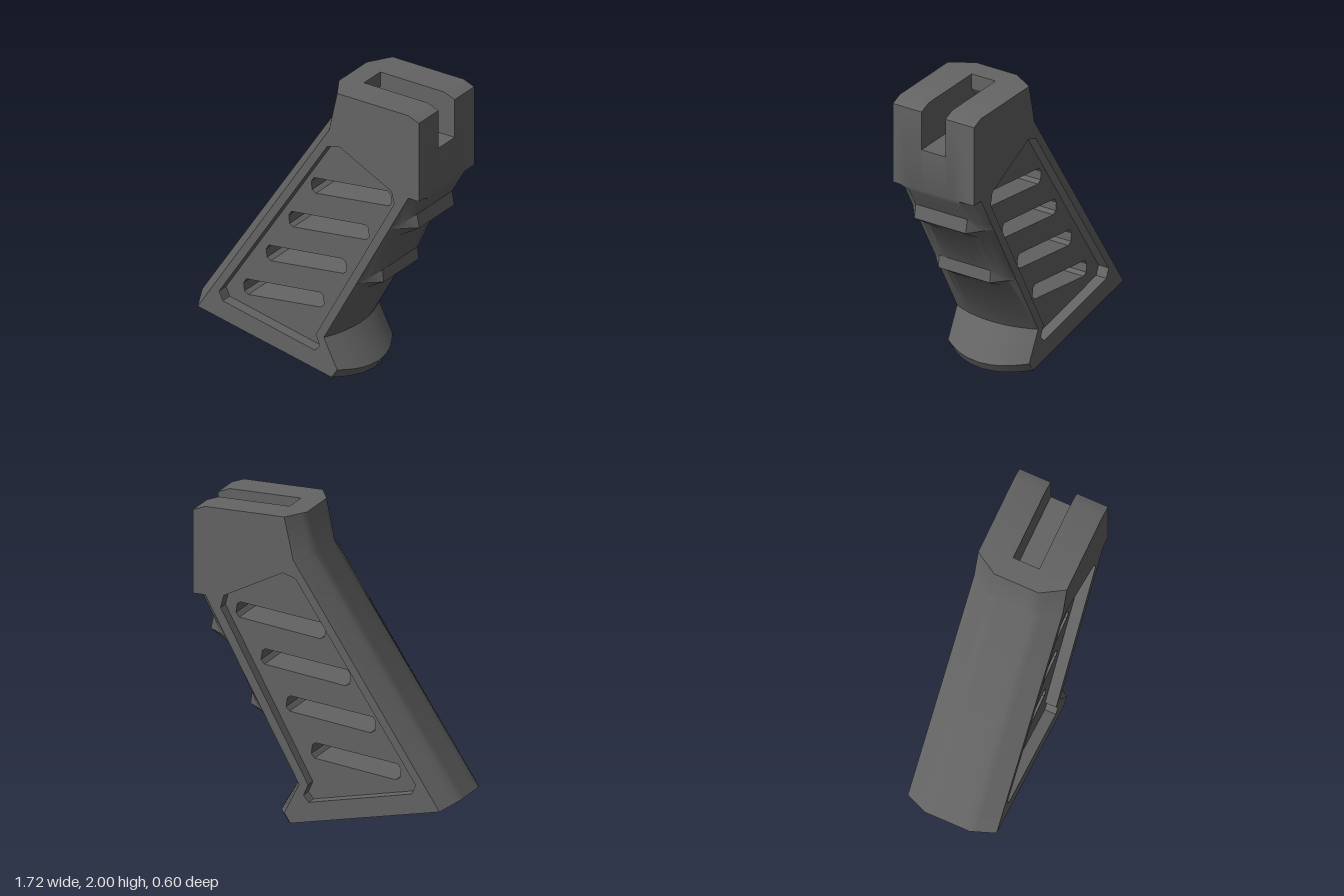
import * as THREE from 'three';
import { mergeGeometries, toCreasedNormals } from 'three/addons/utils/BufferGeometryUtils.js';

const HALF = 0.3, FLOOR = 0.225, SLOT = 0.088;
const lerp = THREE.MathUtils.lerp;

// Outline of the grip at depth z, counter-clockwise from the rear heel
function outline(z, slotted) {
  const a = Math.abs(z);
  const curve = 1 - (a / HALF) ** 2;                                   // rounded front
  const ridge = THREE.MathUtils.clamp((HALF - a) / 0.11, 0, 1);        // finger ridges
  const back = THREE.MathUtils.clamp((HALF - a) / 0.15, 0, 1);         // chamfered back
  // Front point that falls back to the straight side edge at the flanks
  const front = (x, y, ySide, bulge) => {
    const yy = lerp(ySide, y, ridge);
    return [lerp(0.15 + (yy - 0.285) * 0.55, x, bulge), yy];
  };
  const pts = [
    [lerp(-0.79, -0.86, back), lerp(0.228, 0.265, back)],
    [lerp(0.208, 0.32, curve), lerp(0.027, 0.002, curve)],
    [lerp(0.25, 0.355, curve), lerp(0.09, 0.06, curve)],
    [lerp(0.15, 0.22, curve), 0.285],
    front(0.43, 0.66, 0.73, curve), front(0.522, 0.73, 0.73, ridge), front(0.512, 0.81, 0.73, ridge),
    front(0.68, 1.09, 1.18, curve), front(0.787, 1.18, 1.18, ridge), front(0.77, 1.27, 1.18, ridge),
    front(0.845, 1.4, 1.43, ridge), [0.86, 1.43],
  ];
  if (slotted) pts.push([0.86, 1.71], [0.175, 1.71], [0.305, 1.9], [0.305, 2]);
  else pts.push([0.86, 1.97], [0.78, 2]);
  pts.push([lerp(0.25, 0.16, back), 2], [lerp(0.19, 0.105, back), 1.73]);
  return pts;
}

// Skin between matching outlines placed at increasing z
function loft(zs, at) {
  const pos = [];
  for (let k = 0; k + 1 < zs.length; k++) {
    const A = at(zs[k]), B = at(zs[k + 1]);
    A.forEach((p, i) => {
      const j = (i + 1) % A.length;
      const a = [...p, zs[k]], b = [...A[j], zs[k]];
      const c = [...B[j], zs[k + 1]], d = [...B[i], zs[k + 1]];
      pos.push(...a, ...b, ...c, ...a, ...c, ...d);
    });
  }
  const g = new THREE.BufferGeometry();
  g.setAttribute('position', new THREE.Float32BufferAttribute(pos, 3));
  return g;
}

// Flat plate with holes at depth z, facing +z or -z
function plate(points, holes, z, facing) {
  const vec = (list) => list.map(([x, y]) => new THREE.Vector2(x, y));
  const shape = new THREE.Shape(vec(points));
  shape.holes = holes.map((h) => new THREE.Path(vec(h)));
  const g = new THREE.ShapeGeometry(shape).toNonIndexed();
  g.deleteAttribute('uv');
  g.deleteAttribute('normal');
  const p = g.attributes.position;
  if (facing < 0) {
    for (let i = 0; i < p.count; i += 3) {
      const x = p.getX(i + 1), y = p.getY(i + 1);
      p.setXY(i + 1, p.getX(i + 2), p.getY(i + 2));
      p.setXY(i + 2, x, y);
    }
  }
  return g.translate(0, 0, z);
}

export function createModel() {
  const group = new THREE.Group();
  group.name = 'grip';
  const grey = new THREE.MeshStandardMaterial({ color: 0x646464 });
  grey.name = 'dark grey';
  const add = (name, parts, crease) => {
    const mesh = new THREE.Mesh(toCreasedNormals(mergeGeometries(parts), crease), grey);
    mesh.name = name;
    group.add(mesh);
  };

  // Recessed side panel and the four slanted openings
  const recess = [[0.26, 1.638], [0.175, 1.61], [-0.63, 0.38], [-0.603, 0.32], [0.085, 0.178],
    [0.12, 0.22], [0.09, 0.29], [0.675, 1.36], [0.655, 1.44]];
  const opening = [[0.005, 1.29], [0.025, 1.322], [0.575, 1.388], [0.597, 1.373],
    [0.605, 1.315], [0.582, 1.288], [0.04, 1.218], [0.012, 1.235]];
  const openings = [0, 1, 2, 3].map((n) =>
    opening.map(([x, y]) => [x - n * 0.168, y - n * 0.282]));

  // Outer skin: two flanks and a slotted centre
  const flank = [SLOT, 0.15, 0.19, 0.25, HALF];
  const plain = (z) => outline(z, false);
  add('body', [
    loft(flank, plain),
    loft(flank.map((z) => -z).reverse(), plain),
    loft([-SLOT, 0, SLOT], (z) => outline(z, true)),
  ], 0.56);

  // Walls of the slot in the top
  const slotSide = [[0.305, 2], [0.305, 1.9], [0.175, 1.71], [0.86, 1.71], [0.86, 1.97], [0.78, 2]];
  add('topSlotWalls', [plate(slotSide, [], SLOT, -1), plate(slotSide, [], -SLOT, 1)], 0.1);

  // Flat sides, recess rims and recess floors
  const rim = [...recess].reverse();
  // Points where the ridges fade out coincide, so drop repeats
  const side = outline(HALF, false).filter((p, i, all) =>
    i === 0 || Math.hypot(p[0] - all[i - 1][0], p[1] - all[i - 1][1]) > 1e-4);
  for (const s of [1, -1]) {
    const label = s > 0 ? 'left' : 'right';
    add(label + 'Side', [plate(side, [recess], s * HALF, s)], 0.1);
    add(label + 'RecessRim', [loft(s > 0 ? [FLOOR, HALF] : [-HALF, -FLOOR], () => rim)], 0.1);
    add(label + 'RecessFloor', [plate(recess, openings, s * FLOOR, s)], 0.1);
  }

  // Inner walls of the openings
  openings.forEach((o, n) => add('openingWalls' + (n + 1), [loft([-FLOOR, FLOOR], () => o)], 0.1));
  return group;
}
